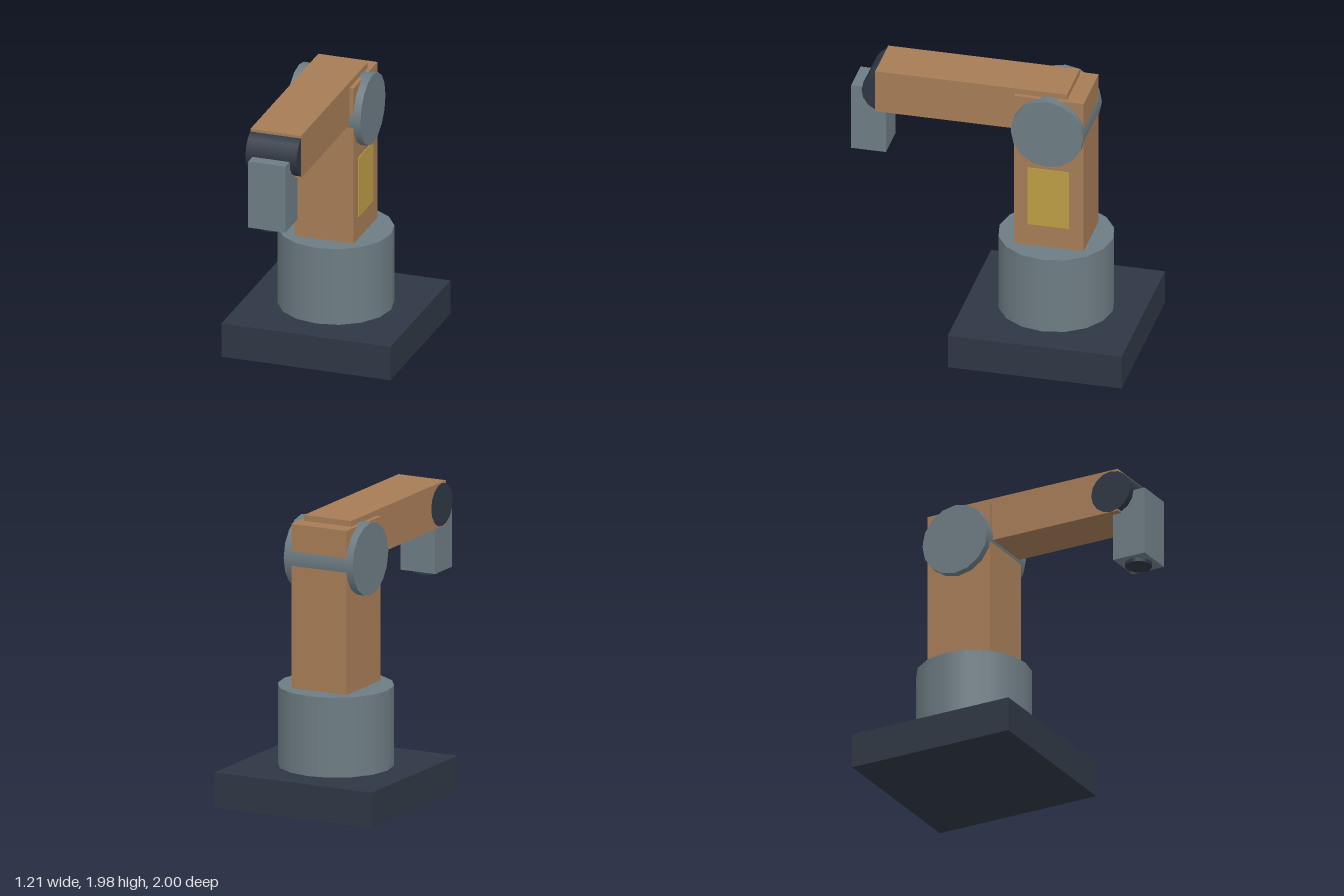
import * as THREE from 'three';

const mat = (name, color) => {
  const m = new THREE.MeshStandardMaterial({ color });
  m.name = name;
  return m;
};

export function createModel() {
  const group = new THREE.Group();
  group.name = 'robotArm';
  const dark = mat('darkSlate', 0x2e3744);
  const steel = mat('steelGrey', 0x6d7c83);
  const copper = mat('copperBrown', 0xa67c56);
  const yellow = mat('mutedYellow', 0xbc9d45);

  const add = (name, geometry, material, x, y, z) => {
    const mesh = new THREE.Mesh(geometry, material);
    mesh.name = name;
    mesh.position.set(x, y, z);
    group.add(mesh);
    return mesh;
  };
  // Box given by its width and its y and z ranges
  const box = (name, material, w, y0, y1, z0, z1, x = 0) =>
    add(name, new THREE.BoxGeometry(w, y1 - y0, z1 - z0), material, x, (y0 + y1) / 2, (z0 + z1) / 2);
  const drum = (r, h) => new THREE.CylinderGeometry(r, r, h, 16);
  // Drum lying along x, with a vertex at its top
  const axle = (r, w) => drum(r, w).rotateZ(Math.PI / 2);

  const axisZ = -0.395;

  // Floor plate and turntable
  box('basePlate', dark, 1.21, 0, 0.245, -1, 0.21);
  add('turntable', drum(0.395, 0.555), steel, 0, 0.5225, axisZ);

  // Upright column with a panel on its left side
  box('column', copper, 0.424, 0.8, 1.94, -0.637, -0.153);
  box('sidePanel', yellow, 0.008, 0.96, 1.397, -0.537, -0.247, 0.213);

  // Shoulder joint through the column
  add('shoulderJoint', axle(0.252, 0.53), steel, 0, 1.7, axisZ);

  // Forearm and wrist joint, the wrist just proud of the right side
  box('forearm', copper, 0.364, 1.67, 1.98, -0.515, 0.82);
  add('wristJoint', axle(0.15, 0.364), dark, -0.001, 1.822, 0.765);

  // Tool head and its nozzle
  box('toolHead', steel, 0.266, 1.335, 1.82, 0.757, 1);
  add('toolNozzle', drum(0.092, 0.06), dark, 0, 1.34, 0.879);

  return group;
}
